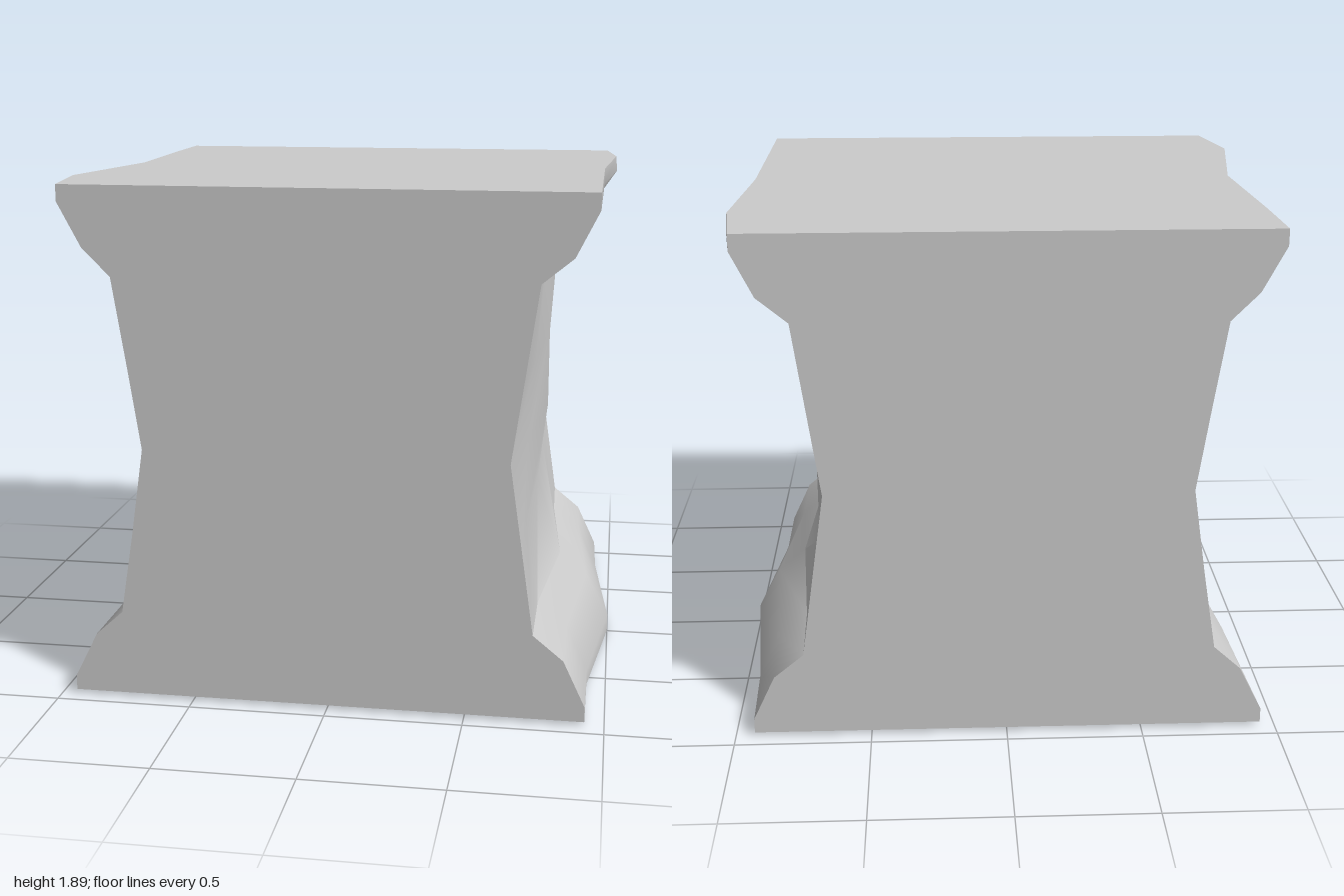
import * as THREE from 'three';
import { toCreasedNormals } from 'three/addons/utils/BufferGeometryUtils.js';

// cross-section stations, front to back
const stations = [0.94, 0.6, 0, -0.61, -0.94];

// height of each profile row, then half-width at each station
const leftSide = [ // +x
  [0.015, 0.93, 0.93, 1.0, 0.94, 0.93],
  [0.07, 0.93, 0.93, 1.0, 0.94, 0.93],
  [0.24, 0.85, 0.85, 0.91, 0.86, 0.85],
  [0.33, 0.74, 0.74, 0.8, 0.75, 0.74],
  [0.64, 0.695, 0.69, 0.7, 0.69, 0.695],
  [0.95, 0.65, 0.69, 0.735, 0.69, 0.65],
  [1.25, 0.693, 0.71, 0.735, 0.71, 0.693],
  [1.58, 0.74, 0.73, 0.72, 0.74, 0.74],
  [1.67, 0.85, 0.84, 0.83, 0.85, 0.85],
  [1.83, 0.93, 0.93, 0.93, 0.975, 0.93],
  [1.89, 0.93, 0.93, 0.93, 0.97, 0.93],
];
const rightSide = [ // -x
  [0.015, 0.945, 0.93, 0.87, 0.92, 0.945],
  [0.07, 0.945, 0.93, 0.87, 0.92, 0.945],
  [0.24, 0.86, 0.86, 0.8, 0.85, 0.86],
  [0.33, 0.76, 0.785, 0.745, 0.76, 0.76],
  [0.64, 0.71, 0.735, 0.735, 0.72, 0.71],
  [0.95, 0.665, 0.7, 0.705, 0.69, 0.665],
  [1.25, 0.71, 0.7, 0.7, 0.69, 0.71],
  [1.57, 0.76, 0.77, 0.74, 0.76, 0.76],
  [1.67, 0.86, 0.92, 0.82, 0.88, 0.86],
  [1.83, 0.945, 1.0, 0.905, 0.97, 0.945],
  [1.89, 0.945, 1.0, 0.905, 0.935, 0.945],
];

export function createModel() {
  const rows = leftSide.length;
  const ringSize = rows * 2;
  const positions = [];
  const index = [];
  const quad = (a, b, c, d) => index.push(a, b, c, a, c, d);

  // closed ring per station: up the +x side, down the -x side
  stations.forEach((z, s) => {
    for (const [y, ...w] of leftSide) {
      const lowPoint = y < 0.02 && z === 0; // slight sag under the foot
      positions.push(w[s], lowPoint ? 0 : y, z);
    }
    for (const [y, ...w] of [...rightSide].reverse()) positions.push(-w[s], y, z);
  });

  // skin between neighbouring rings
  for (let s = 0; s < stations.length - 1; s++) {
    for (let i = 0; i < ringSize; i++) {
      const j = (i + 1) % ringSize;
      const front = s * ringSize;
      const back = front + ringSize;
      quad(front + i, back + i, back + j, front + j);
    }
  }

  // flat end faces, one strip per profile row
  const end = (stations.length - 1) * ringSize;
  for (let r = 0; r < rows - 1; r++) {
    const l = ringSize - 1 - r;
    quad(l, r, r + 1, l - 1);
    quad(end + r, end + l, end + l - 1, end + r + 1);
  }

  const geometry = new THREE.BufferGeometry();
  geometry.setAttribute('position', new THREE.Float32BufferAttribute(positions, 3));
  geometry.setIndex(index);

  const block = new THREE.Mesh(
    toCreasedNormals(geometry, 0.65),
    new THREE.MeshStandardMaterial({ color: 0xcccccc })
  );
  block.name = 'waistedStoneBlock';

  const model = new THREE.Group();
  model.name = 'pedestalBlock';
  model.add(block);
  return model;
}
